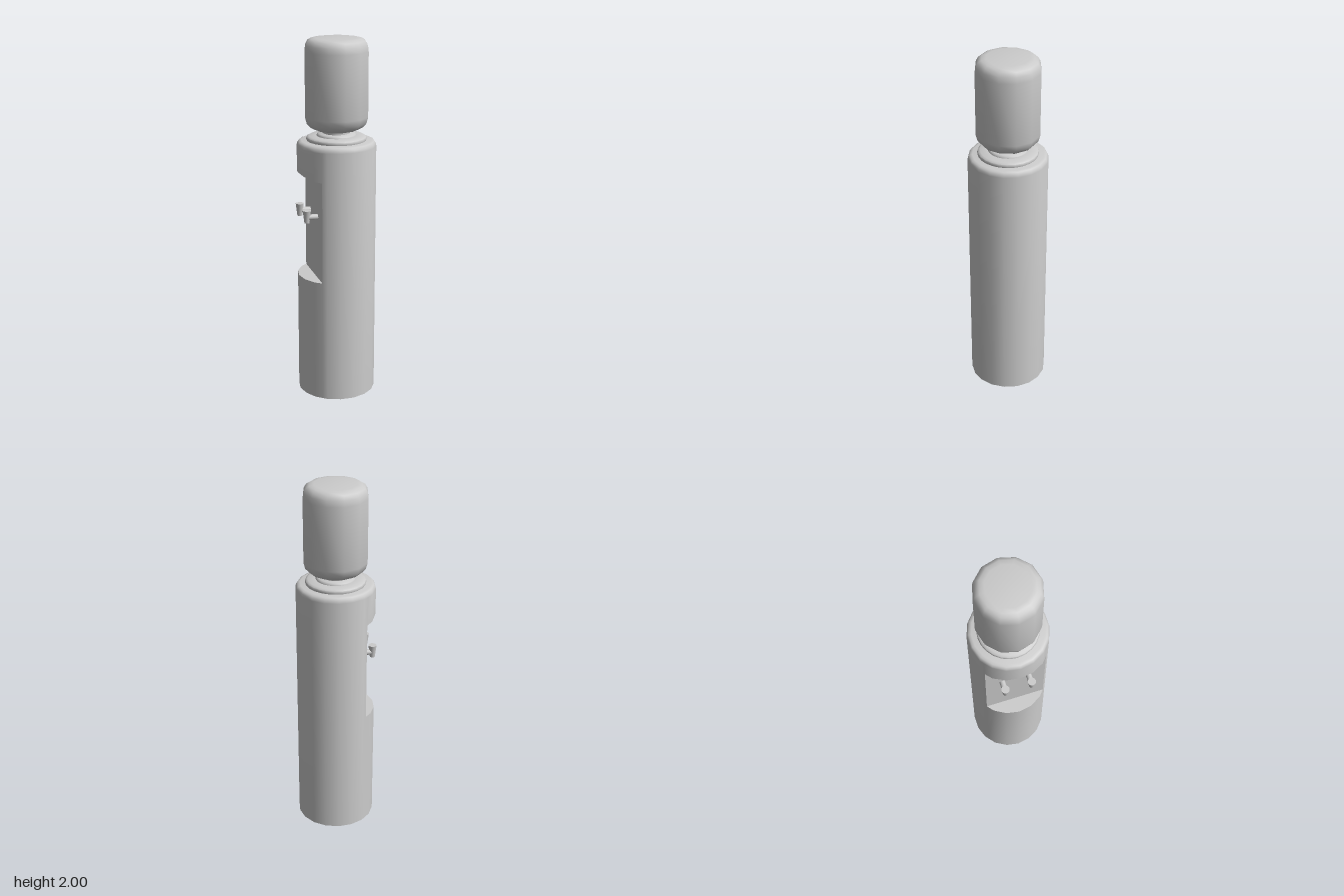
import * as THREE from 'three';
import { mergeGeometries, toCreasedNormals } from 'three/addons/utils/BufferGeometryUtils.js';

const RADIUS = 0.217, SIDES = 18;
const WALL_X = -0.13, SHELF_Y = 0.69, CEILING_Y = 1.255, SHOULDER_Y = 1.42;

const grey = new THREE.MeshStandardMaterial({ color: 0xcccccc, side: THREE.DoubleSide });

// Smooth the facets, keep real edges sharp (scaled up so small parts keep their own vertices)
function crease(geometry) {
  geometry.scale(100, 100, 100);
  return toCreasedNormals(geometry, 0.75).scale(0.01, 0.01, 0.01);
}

function addPart(parent, name, geometry) {
  const mesh = new THREE.Mesh(crease(geometry), grey);
  mesh.name = name;
  parent.add(mesh);
  return mesh;
}

function lathe(profile, sides) {
  const points = profile.map(([r, y]) => new THREE.Vector2(r, y));
  return new THREE.LatheGeometry(points, sides, Math.PI / 2);
}

// Polygonal body outline, with two extra points where the recess cuts it
function bodyOutline() {
  const outline = [];
  const corner = (i) => {
    const a = (i / SIDES) * Math.PI * 2;
    return { x: RADIUS * Math.cos(a), z: RADIUS * Math.sin(a) };
  };
  for (let i = 0; i < SIDES; i++) {
    const p = corner(i), q = corner(i + 1);
    outline.push(p);
    if ((p.x - WALL_X) * (q.x - WALL_X) < 0) {
      const t = (WALL_X - p.x) / (q.x - p.x);
      outline.push({ x: WALL_X, z: p.z + t * (q.z - p.z) });
    }
  }
  return outline;
}

// Open-bottomed column with a recess cut into its -x side
function bodyGeometry() {
  const positions = [];
  const quad = (a, b, c, d) => positions.push(...a, ...b, ...c, ...a, ...c, ...d);
  const ceiling = (x) => CEILING_Y + 0.026 * ((WALL_X - x) / (RADIUS + WALL_X)) ** 2;
  const outline = bodyOutline();

  outline.forEach((p, i) => {
    const q = outline[(i + 1) % outline.length];
    const at = (o, y) => [o.x, y, o.z];
    const onWall = (o, y) => [WALL_X, y, o.z];
    const panel = (pLow, qLow, high) =>
      quad(at(q, qLow), at(p, pLow), at(p, high), at(q, high));

    if ((p.x + q.x) / 2 > WALL_X) {
      panel(0, 0, SHOULDER_Y);
      return;
    }
    const pTop = ceiling(p.x), qTop = ceiling(q.x);
    panel(0, 0, SHELF_Y);
    panel(pTop, qTop, SHOULDER_Y);
    // shelf, curved ceiling and flat back of the recess
    quad(at(p, SHELF_Y), onWall(p, SHELF_Y), onWall(q, SHELF_Y), at(q, SHELF_Y));
    quad(at(q, qTop), onWall(q, CEILING_Y), onWall(p, CEILING_Y), at(p, pTop));
    quad(onWall(q, SHELF_Y), onWall(p, SHELF_Y), onWall(p, CEILING_Y), onWall(q, CEILING_Y));
  });

  const walls = new THREE.BufferGeometry();
  walls.setAttribute('position', new THREE.Float32BufferAttribute(positions, 3));

  // rounded shoulder and flat top
  const top = lathe([
    [RADIUS, SHOULDER_Y], [0.214, 1.435], [0.206, 1.446], [0.192, 1.45], [0, 1.45],
  ], SIDES).toNonIndexed();
  top.deleteAttribute('normal');
  top.deleteAttribute('uv');
  return mergeGeometries([walls, top]);
}

// Tap: horizontal pipe with a tapered upright spout
function createTap(z) {
  const tap = new THREE.Group();
  tap.name = 'tap';
  const pipe = new THREE.CylinderGeometry(0.016, 0.016, 0.06, 12).rotateZ(Math.PI / 2);
  addPart(tap, 'tapPipe', pipe).position.set(-0.157, 1.045, 0);
  const spout = new THREE.CylinderGeometry(0.023, 0.014, 0.07, 12);
  addPart(tap, 'tapSpout', spout).position.set(-0.19, 1.049, 0);
  tap.position.z = z;
  return tap;
}

export function createModel() {
  const model = new THREE.Group();
  model.name = 'waterDispenser';

  addPart(model, 'body', bodyGeometry());

  // Stepped collar and neck that hold the bottle
  addPart(model, 'collar', lathe([
    [0.162, 1.448], [0.165, 1.457], [0.162, 1.467], [0.15, 1.474],
    [0.108, 1.475], [0.106, 1.482], [0.098, 1.488], [0, 1.488],
  ], 24));
  addPart(model, 'neck', lathe([[0.072, 1.48], [0.072, 1.51]], 24));

  addPart(model, 'bottle', lathe([
    [0, 1.499], [0.08, 1.5], [0.118, 1.509], [0.147, 1.524], [0.166, 1.546], [0.175, 1.58],
    [0.175, 1.93], [0.171, 1.962], [0.158, 1.985], [0.14, 1.996], [0.115, 2], [0, 2],
  ], 12));

  for (const side of [-1, 1]) model.add(createTap(side * 0.075));

  return model;
}
